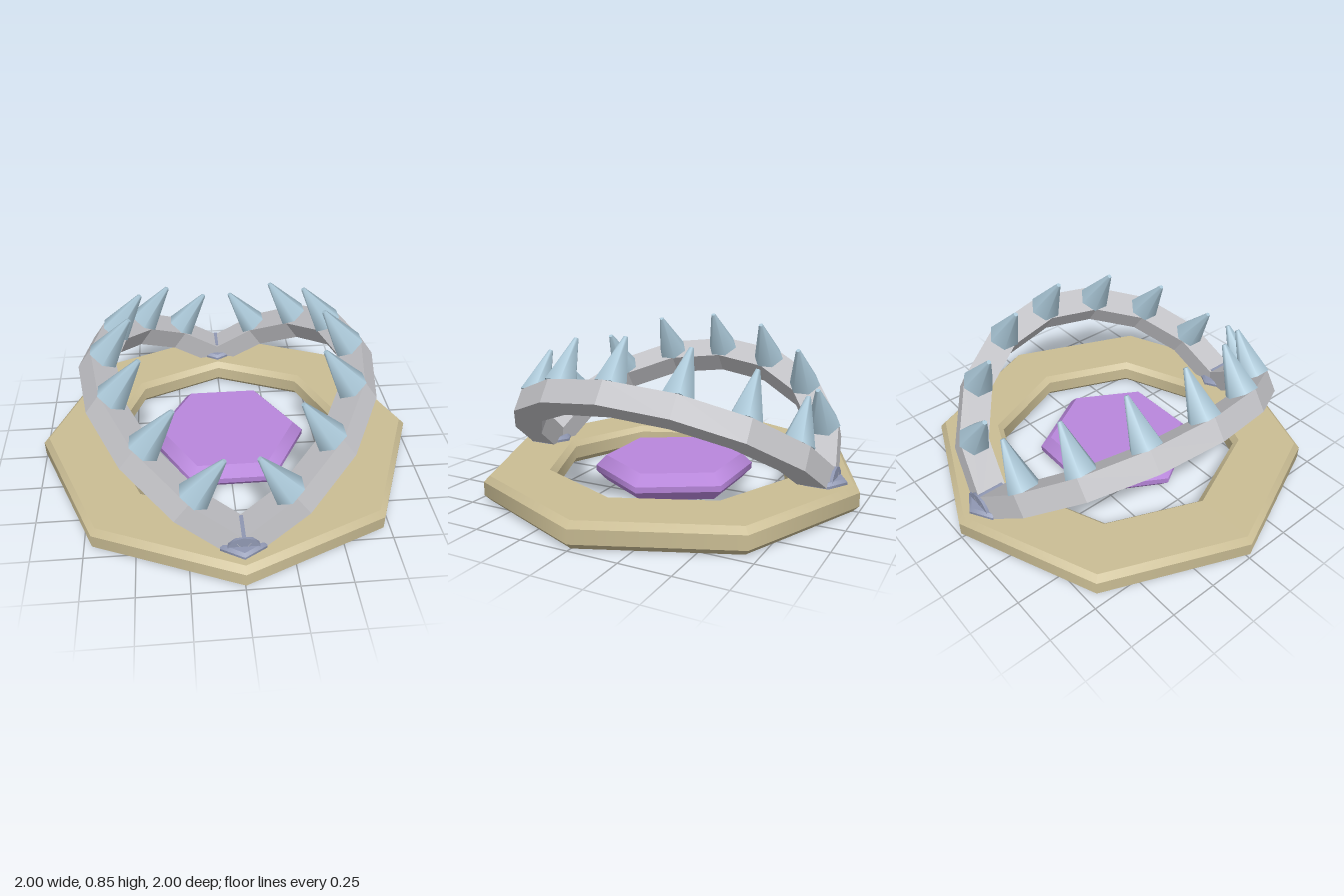
import * as THREE from 'three';
import { mergeGeometries } from 'three/addons/utils/BufferGeometryUtils.js';

const mat = (name, color) => {
  const m = new THREE.MeshStandardMaterial({ color });
  m.name = name;
  return m;
};

// Revolved profile: smooth around the axis, sharp between profile bands
function turned(profile, sides, phiStart = 0) {
  const bands = [];
  for (let i = 0; i < profile.length - 1; i++) {
    const pts = [profile[i], profile[i + 1]].map(([r, y]) => new THREE.Vector2(r, y));
    bands.push(new THREE.LatheGeometry(pts, sides, phiStart));
  }
  return mergeGeometries(bands);
}

// Bevelled solid slab profile, from bottom centre to top centre
const slab = (r, y0, y1, b) => [
  [0, y0], [r - b, y0], [r, y0 + b], [r, y1 - b], [r - b, y1], [0, y1],
];

// Half ring of straight segments lying flat, centred on y = 0
function halfRing(outer, inner, thickness, segments) {
  const pts = [];
  const arc = (r, i) => {
    const a = -Math.PI / 2 + (Math.PI * i) / segments;
    pts.push(new THREE.Vector2(r * Math.cos(a), r * Math.sin(a)));
  };
  for (let i = 0; i <= segments; i++) arc(outer, i);
  for (let i = segments; i >= 0; i--) arc(inner, i);
  const geo = new THREE.ExtrudeGeometry(new THREE.Shape(pts), { depth: thickness, bevelEnabled: false });
  return geo.rotateX(Math.PI / 2).translate(0, thickness / 2, 0);
}

export function createModel() {
  const tan = mat('tan', 0xcabd94);
  const steel = mat('steel', 0xc2c2c6);
  const spikeBlue = mat('spikeBlue', 0xaac7d7);
  const purple = mat('purple', 0xb987dc);
  const slate = mat('slate', 0x8f97b2);

  const model = new THREE.Group();
  model.name = 'jawTrap';
  const add = (parent, name, geo, material) => {
    const mesh = new THREE.Mesh(geo, material);
    mesh.name = name;
    parent.add(mesh);
    return mesh;
  };

  // Octagonal base ring with bevelled edges
  add(model, 'baseRing', turned([
    [0.67, 0], [0.97, 0], [1, 0.03], [1, 0.1], [0.97, 0.13],
    [0.67, 0.13], [0.64, 0.1], [0.64, 0.03], [0.67, 0],
  ], 8), tan);

  // Hexagonal trigger plate
  add(model, 'triggerPlate', turned(slab(0.42, 0.01, 0.15, 0.055), 6, Math.PI / 2), purple);

  // Two jaws opening from a shared axis, each with seven spikes
  const tilt = 0.61;
  const jawGeo = halfRing(0.885, 0.735, 0.12, 8);
  const spikeGeo = new THREE.CylinderGeometry(0.012, 0.085, 0.25, 6);
  for (const side of ['left', 'right']) {
    const turn = new THREE.Group();
    turn.name = side + 'JawSide';
    turn.rotation.y = side === 'left' ? 0 : Math.PI;
    const jaw = new THREE.Group();
    jaw.name = side + 'Jaw';
    jaw.position.y = 0.13;
    jaw.rotation.z = tilt;
    turn.add(jaw);
    model.add(turn);
    add(jaw, side + 'JawBar', jawGeo, steel);
    for (let i = -3; i <= 3; i++) {
      const a = (i * Math.PI) / 8;
      const spike = add(jaw, side + 'Spike', spikeGeo, spikeBlue);
      spike.position.set(0.81 * Math.cos(a), 0.185, 0.81 * Math.sin(a));
    }
  }

  // Hinges at front and back: hexagonal pad with a pin along z
  const padGeo = turned(slab(0.125, 0.1, 0.158, 0.015), 6);
  const pinGeo = new THREE.CylinderGeometry(0.082, 0.082, 0.145, 12).rotateX(Math.PI / 2);
  for (const s of [1, -1]) {
    const hinge = new THREE.Group();
    hinge.name = s > 0 ? 'frontHinge' : 'backHinge';
    hinge.position.z = 0.812 * s;
    add(hinge, 'hingePad', padGeo, slate);
    add(hinge, 'hingePin', pinGeo, slate).position.y = 0.13;
    model.add(hinge);
  }
  return model;
}
